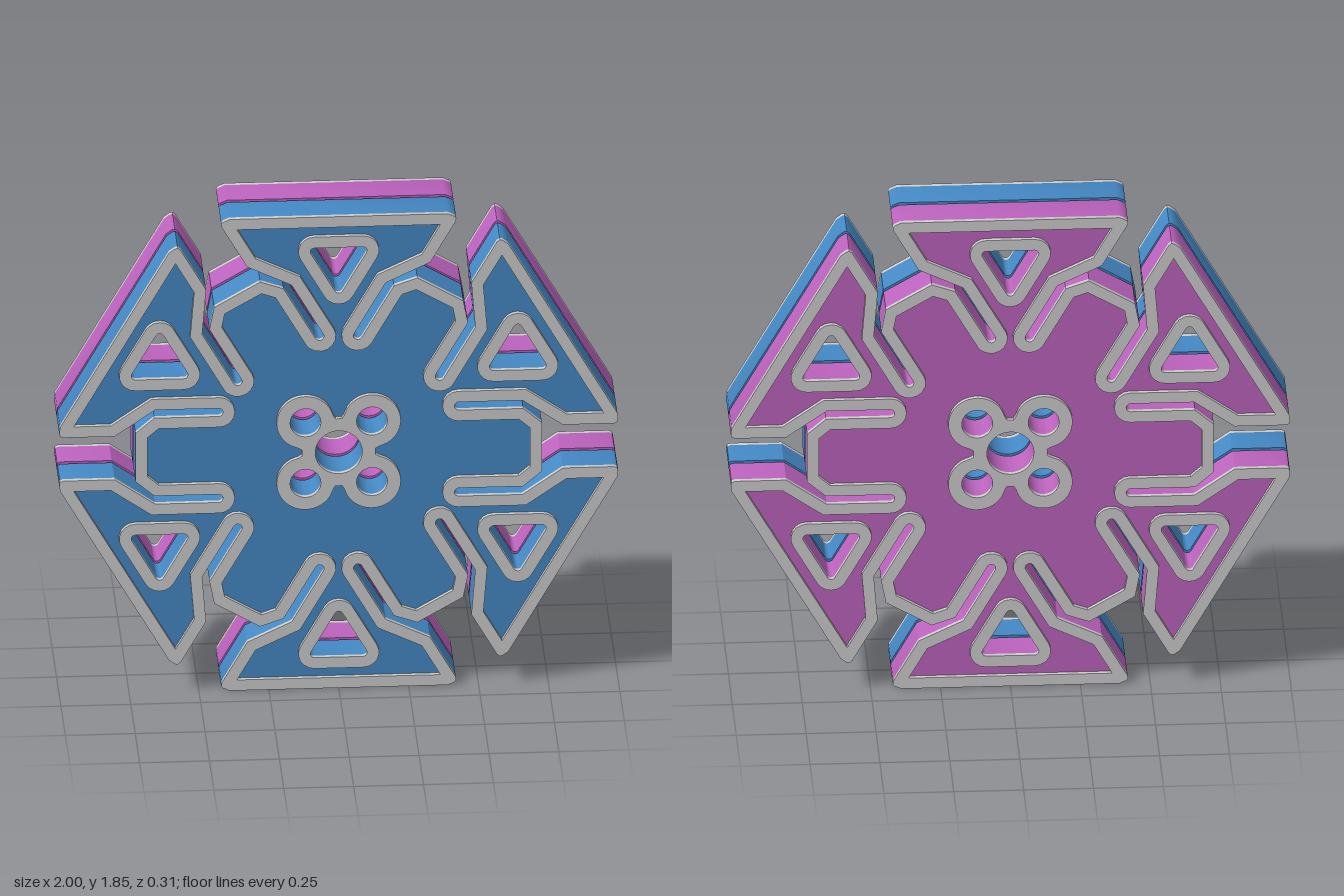
import * as THREE from 'three';
import { toCreasedNormals } from 'three/addons/utils/BufferGeometryUtils.js';

const CENTER_Y = 0.9265, RIM = 0.042;
const Z_INNER = 0.009, Z_FACE = 0.138, Z_RIM = 0.156;
const V = (x, y) => new THREE.Vector2(x, y);
const polar = (r, a, cx = 0, cy = 0) => V(cx + r * Math.cos(a), cy + r * Math.sin(a));
const turn = (pts, a) => pts.map(p => p.clone().rotateAround(V(0, 0), a));

// Disc outline: six arms, each between two thin slots; petals fill the spaces between
function outline(sharpTips) {
  const tip = sharpTips ? [V(1.021, 0.085)]
    : [V(0.985, 0.085), V(0.997, 0.09), V(1.0, 0.1), V(0.997, 0.1255)];
  const half = [V(0.727, 0.095), V(0.66, 0.153)];
  for (let i = 0; i <= 8; i++) half.push(polar(0.016, -Math.PI / 2 - Math.PI * i / 8, 0.43, 0.169));
  half.push(V(0.657, 0.185), V(0.802, 0.085), ...tip);
  const lower = half.map(p => V(p.x, -p.y)).reverse();
  const sector = [...lower, ...half];
  const pts = [];
  for (let k = 0; k < 6; k++) pts.push(...turn(sector, k * Math.PI / 3));
  return pts;
}

// Mitred inward offset of a counter-clockwise polygon
function inset(pts, d) {
  const n = pts.length;
  const normal = (a, b) => V(a.y - b.y, b.x - a.x).normalize();
  return pts.map((p, i) => {
    const n1 = normal(pts[(i + n - 1) % n], p), n2 = normal(p, pts[(i + 1) % n]);
    return n1.clone().add(n2).multiplyScalar(d / (1 + n1.dot(n2))).add(p);
  });
}

// Rounded triangle pointing at the hub, grown by r around a small core
function triangle(r, k) {
  const pts = [];
  for (const a of [-60, 60, 180]) {
    const c = polar(0.1, a * Math.PI / 180, 0.74, 0);
    for (let i = 0; i <= 6; i++) pts.push(polar(r, (a - 60 + i * 20) * Math.PI / 180, c.x, c.y));
  }
  return turn(pts, Math.PI / 6 + k * Math.PI / 3);
}

function circle(r, x, y) {
  return Array.from({ length: 40 }, (_, i) => polar(r, i * Math.PI / 20, x, y));
}

// Hub holes: one in the middle and four around it
const hubHoles = [circle(0.084, 0, 0)];
for (const x of [-0.119, 0.119]) for (const y of [-0.119, 0.119]) hubHoles.push(circle(0.055, x, y));

// Four-lobed outline around the hub holes
function hubOutline() {
  const c = 0.119 * Math.SQRT2, lobe = 0.103, n = 144;
  return Array.from({ length: n }, (_, i) => {
    const a = i * 2 * Math.PI / n;
    const f = (a % (Math.PI / 2)) - Math.PI / 4;
    const s = lobe * lobe - (c * Math.sin(f)) ** 2;
    return polar(Math.max(0.132, s > 0 ? c * Math.cos(f) + Math.sqrt(s) : 0), a);
  });
}

function slab(name, pts, holes, z0, z1, material) {
  const shape = new THREE.Shape(pts);
  shape.holes = holes.map(h => new THREE.Path(h));
  const geo = new THREE.ExtrudeGeometry(shape, { depth: z1 - z0, bevelEnabled: false });
  geo.translate(0, 0, z0);
  const mesh = new THREE.Mesh(toCreasedNormals(geo, 0.5), material);
  mesh.name = name;
  return mesh;
}

function makeHalf(name, color) {
  const half = new THREE.Group();
  half.name = name;
  const body = new THREE.MeshStandardMaterial({ color });
  const grey = new THREE.MeshStandardMaterial({ color: 0xcccccc });
  const edge = outline(false);
  const windows = [0, 1, 2, 3, 4, 5].map(k => triangle(0.015, k));

  // Coloured plate
  half.add(slab('plate', edge, [...windows, ...hubHoles], Z_INNER, Z_FACE, body));
  // Raised borders
  half.add(slab('outerRim', edge, [inset(outline(true), RIM)], Z_FACE, Z_RIM, grey));
  windows.forEach((w, k) => half.add(slab('windowRim', triangle(0.058, k), [w], Z_FACE, Z_RIM, grey)));
  half.add(slab('hubRim', hubOutline(), hubHoles, Z_FACE, Z_RIM, grey));
  return half;
}

export function createModel() {
  const model = new THREE.Group();
  model.name = 'slottedDisc';
  const front = makeHalf('frontHalf', 0x4488c4);
  const back = makeHalf('backHalf', 0xbb62bd);
  back.rotation.y = Math.PI;
  model.add(front, back);
  front.position.y = back.position.y = CENTER_Y;
  return model;
}
